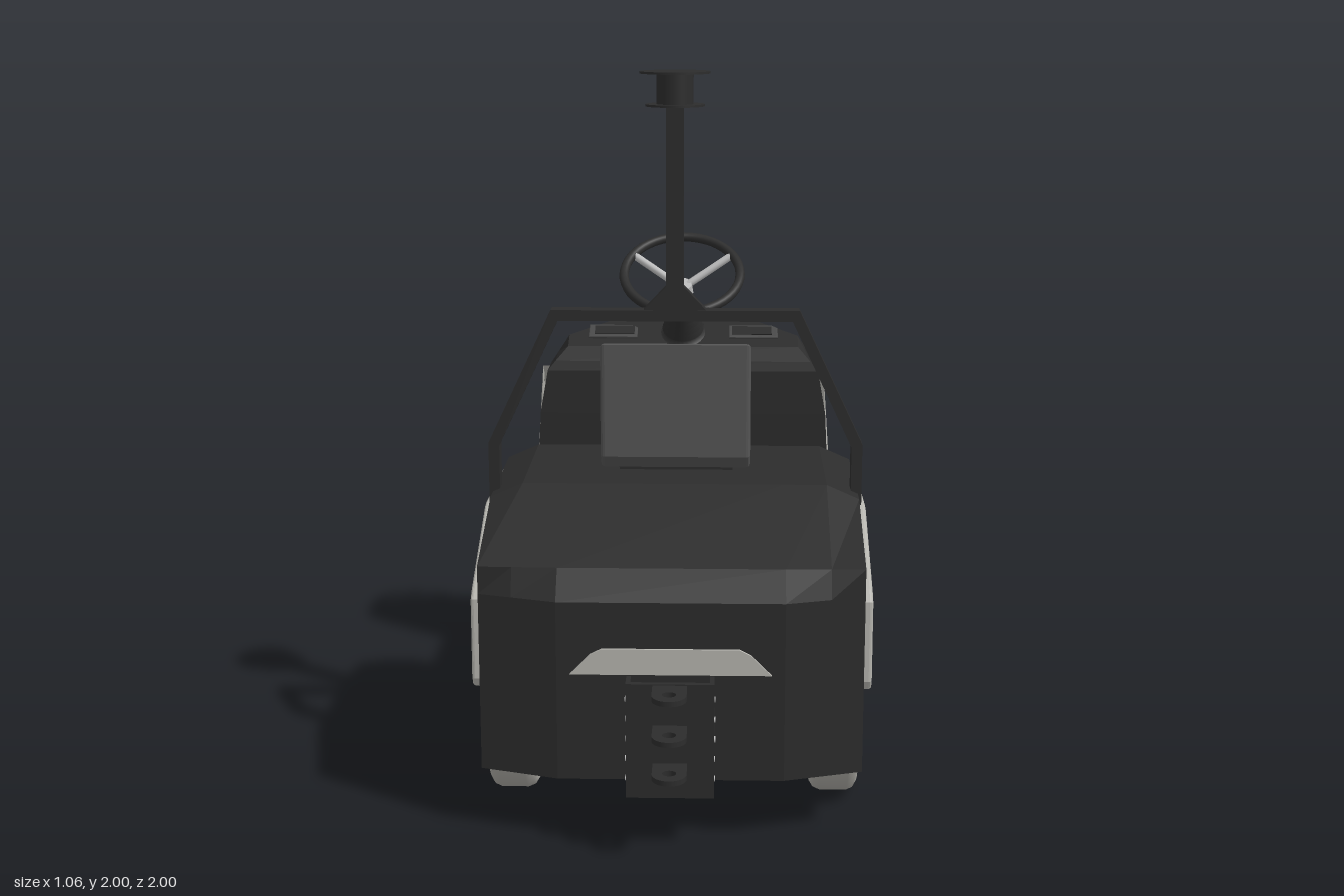
import * as THREE from 'three';

const mat = (color) => new THREE.MeshStandardMaterial({ color, side: THREE.DoubleSide });
const black = mat(0x2c2c2c), light = mat(0xb6b5af), seatGrey = mat(0x555555);
const tyreGrey = mat(0xaaa8a2), hubGrey = mat(0x484848), silver = mat(0xbbbbbb);

function add(parent, name, geo, material, x = 0, y = 0, z = 0) {
  const m = new THREE.Mesh(geo, material);
  m.name = name;
  m.position.set(x, y, z);
  parent.add(m);
  return m;
}
const box = (w, h, d) => new THREE.BoxGeometry(w, h, d);
const poly = (pts) => new THREE.Shape(pts.map(([x, y]) => new THREE.Vector2(x, y)));

// Extrude a shape centred on its depth
function extrude(shape, depth, bevel = 0) {
  const g = new THREE.ExtrudeGeometry(shape, {
    depth: depth - 2 * bevel, curveSegments: 24, bevelEnabled: bevel > 0,
    bevelSize: bevel, bevelOffset: -bevel, bevelThickness: bevel, bevelSegments: 3,
  });
  return g.translate(0, 0, -depth / 2 + bevel);
}
// Side profile given as (z, y), extruded across x
const extrudeX = (shape, width, bevel) => extrude(shape, width, bevel).rotateY(-Math.PI / 2);

// Skin over rings of [x, y, z] points, flat shaded
function loft(rings, closed, cap) {
  const v = [], n = rings[0].length, top = rings[rings.length - 1];
  for (let r = 0; r + 1 < rings.length; r++) {
    for (let i = 0; i < (closed ? n : n - 1); i++) {
      const j = (i + 1) % n, [lo, hi] = [rings[r], rings[r + 1]];
      v.push(...lo[i], ...lo[j], ...hi[j], ...lo[i], ...hi[j], ...hi[i]);
    }
  }
  if (cap) for (let i = 1; i + 1 < n; i++) v.push(...top[0], ...top[i], ...top[i + 1]);
  const g = new THREE.BufferGeometry();
  g.setAttribute('position', new THREE.Float32BufferAttribute(v, 3));
  g.computeVertexNormals();
  return g;
}

// Round bar between two points
function rod(parent, name, a, b, r, material) {
  const A = new THREE.Vector3(...a), B = new THREE.Vector3(...b);
  const m = add(parent, name, new THREE.CylinderGeometry(r, r, A.distanceTo(B), 10), material);
  m.position.copy(A).add(B).multiplyScalar(0.5);
  m.quaternion.setFromUnitVectors(new THREE.Vector3(0, 1, 0), B.sub(A).normalize());
}

// Body side profile, optionally with the wheel arch
function bodyProfile(arch) {
  const s = poly([[0.825, 0.17], [0.825, 0.66], [0.765, 0.735], [0.45, 0.88], [0, 0.88],
    [-0.135, 0.84], [-0.135, 0.465], [-0.87, 0.465], [-0.87, 0.17]]);
  if (arch) s.absarc(0.45, 0.215, 0.228, Math.PI + 0.199, -0.199, true);
  return s;
}
// Body slab between two x values, with chamfered corners and shoulders
function bodySlab(x0, x1, arch) {
  const g = extrudeX(bodyProfile(arch), x1 - x0).translate((x0 + x1) / 2, 0, 0);
  const p = g.attributes.position;
  for (let i = 0; i < p.count; i++) {
    const ax = Math.abs(p.getX(i)), z = p.getZ(i), y = p.getY(i);
    const t = THREE.MathUtils.clamp((ax - 0.3) / 0.21, 0, 1);
    const edge = z > 0 ? 0.76 : 0.77;
    if (Math.abs(z) > edge) p.setZ(i, Math.sign(z) * (edge + (Math.abs(z) - edge) * (1 - t)));
    if (y > 0.8) p.setY(i, y - 0.04 * THREE.MathUtils.clamp((ax - 0.42) / 0.09, 0, 1));
  }
  g.computeVertexNormals();
  return g;
}

function wheel(parent, name, r, w, hubR, x, y, z) {
  const g = new THREE.Group();
  g.name = name;
  const h = w / 2, prof = [[hubR, -h + 0.015], [hubR + 0.008, -h], [r - 0.025, -h], [r - 0.008, -h + 0.01],
    [r, -h + 0.028], [r, h - 0.028], [r - 0.008, h - 0.01], [r - 0.025, h], [hubR + 0.008, h], [hubR, h - 0.015]];
  const tyre = new THREE.LatheGeometry(prof.map(([a, b]) => new THREE.Vector2(a, b)), 40);
  add(g, 'tyre', tyre.rotateZ(Math.PI / 2), tyreGrey);
  add(g, 'hub', new THREE.CylinderGeometry(hubR, hubR, w - 0.03, 32).rotateZ(Math.PI / 2), hubGrey);
  add(g, 'hubCap', new THREE.CylinderGeometry(hubR * 0.72, hubR * 0.8, w - 0.018, 32).rotateZ(Math.PI / 2), black);
  g.position.set(x, y, z);
  parent.add(g);
}

// Console outline: wide at the driver side, chamfered at the tail
function consoleRing([w, zf, yf, zb, yb]) {
  const zm = zb + 0.085, ym = yf + (yb - yf) * (zm - zf) / (zb - zf);
  const half = [[w, yf, zf], [w, ym, zm], [w - 0.15, yb, zb]];
  return [...half, ...half.map(([x, y, z]) => [-x, y, z]).reverse()];
}

export function createModel() {
  const model = new THREE.Group();
  model.name = 'towTractor';

  // Chassis, hood and side panels
  add(model, 'bodyCentre', bodySlab(-0.3, 0.3, false), black);
  for (const s of [-1, 1]) {
    for (const [a, b] of [[0.3, 0.42], [0.42, 0.51]])
      add(model, 'bodySide', bodySlab(Math.min(s * a, s * b), Math.max(s * a, s * b), true), black);
    const panel = poly([[0.67, 0.385], [0.735, 0.395], [0.75, 0.42], [0.745, 0.64], [0.71, 0.665], [0.41, 0.805],
      [0.38, 0.81], [-0.07, 0.8], [-0.1, 0.785], [-0.112, 0.75], [-0.1, 0.46], [-0.08, 0.445], [0.18, 0.388]]);
    panel.absarc(0.45, 0.215, 0.245, Math.PI - 0.77, 0.77, true);
    add(model, 'sidePanel', extrudeX(panel, 0.03, 0.009), light, s * 0.517);
    wheel(model, 'frontWheel', 0.215, 0.13, 0.12, s * 0.445, 0.215, 0.45);
  }
  wheel(model, 'rearWheel', 0.157, 0.105, 0.085, 0, 0.157, -0.46);
  add(model, 'frontTrim', extrude(poly([[-0.265, 0.465], [0.265, 0.465], [0.21, 0.52], [0.18, 0.535],
    [-0.18, 0.535], [-0.21, 0.52]]), 0.02), light, 0, 0, 0.822);

  // Front coupling: channel with three drilled tongues
  add(model, 'couplingPlate', box(0.23, 0.315, 0.015), black, 0, 0.3025, 0.878);
  for (const s of [-1, 1]) {
    add(model, 'couplingFlange', box(0.012, 0.315, 0.06), black, s * 0.109, 0.3025, 0.85);
    for (let i = 0; i < 5; i++)
      add(model, 'couplingBolt', new THREE.CylinderGeometry(0.008, 0.008, 0.006, 10).rotateZ(Math.PI / 2),
        silver, s * 0.115, 0.19 + i * 0.055, 0.86);
  }
  const tongue = poly([[-0.045, -0.87], [0.045, -0.87], [0.045, -0.955]]);
  tongue.absarc(0, -0.955, 0.045, 0, -Math.PI, true);
  tongue.holes.push(new THREE.Path().absarc(0, -0.95, 0.018, 0, Math.PI * 2));
  for (const y of [0.235, 0.34, 0.45])
    add(model, 'couplingTongue', extrude(tongue, 0.014).rotateX(-Math.PI / 2), black, 0, y);

  // Rear hitch
  const hitch = poly([[-0.08, 0.84], [0.08, 0.84], [0.08, 0.97], [0.05, 1], [-0.05, 1], [-0.08, 0.97]]);
  for (const [y, h] of [[0.212, 0.055], [0.312, 0.01]])
    add(model, 'hitchPlate', extrude(hitch, h).rotateX(-Math.PI / 2), black, 0, y);
  add(model, 'hitchPin', new THREE.CylinderGeometry(0.022, 0.03, 0.07, 16), black, 0, 0.265, -0.93);

  // Rear guard rail
  const rail = [[-0.4, 0.525, -0.79], [-0.25, 0.525, -0.86], [0.25, 0.525, -0.86], [0.4, 0.525, -0.79]];
  for (let i = 0; i < 3; i++) rod(model, 'guardRail', rail[i], rail[i + 1], 0.01, black);
  for (const x of [-0.235, -0.08, 0.08, 0.235]) {
    add(model, 'guardPost', box(0.012, 0.085, 0.02), black, x, 0.495, -0.872);
    add(model, 'guardBracket', box(0.012, 0.012, 0.07), black, x, 0.532, -0.84);
  }

  // Steering console and its light rear cowl
  add(model, 'console', loft([[0.485, -0.525, 0.46, -0.82, 0.46], [0.465, -0.525, 0.86, -0.785, 0.86],
    [0.44, -0.525, 1.0, -0.745, 1.0], [0.415, -0.535, 1.03, -0.735, 1.045],
    [0.375, -0.555, 1.075, -0.7, 1.14]].map(consoleRing), true, true), black);
  const cowlRow = (half) => [...half, ...half.map(([x, y, z]) => [-x, y, z]).reverse()];
  add(model, 'consoleCowl', loft([
    cowlRow([[0.478, 0.515, -0.6], [0.5, 0.468, -0.64], [0.5, 0.468, -0.745], [0.345, 0.468, -0.832]]),
    cowlRow([[0.462, 1.0, -0.6], [0.462, 0.97, -0.64], [0.47, 0.925, -0.71], [0.325, 0.865, -0.802]]),
    cowlRow([[0.425, 1.0, -0.6], [0.425, 0.97, -0.635], [0.425, 0.925, -0.66], [0.3, 0.865, -0.76]]),
  ], false), light);
  add(model, 'rearSlot', box(0.5, 0.012, 0.012), black, 0, 0.975, -0.756);

  // Dashboard fittings
  const dash = new THREE.Group();
  dash.name = 'dashboard';
  dash.position.set(0, 1.108, -0.628);
  dash.rotation.x = 0.42;
  model.add(dash);
  for (const s of [-1, 1]) {
    add(dash, 'trayRim', extrude(poly([[-0.08, -0.035], [0.08, -0.035], [0.08, 0.02], [0.06, 0.035], [-0.08, 0.035]]),
      0.012, 0.004).rotateX(-Math.PI / 2), hubGrey, s * 0.23, 0.002, 0);
    add(dash, 'tray', box(0.13, 0.006, 0.045), black, s * 0.225, 0.008, 0);
  }
  add(dash, 'instrumentPod', box(0.13, 0.025, 0.06), black, 0, 0.01, -0.035);

  // Steering wheel, column and bellows
  const steering = new THREE.Group();
  steering.name = 'steering';
  steering.position.set(0, 1.33, -0.45);
  steering.rotation.x = 0.56;
  model.add(steering);
  add(steering, 'steeringRim', new THREE.TorusGeometry(0.184, 0.015, 12, 48).rotateX(Math.PI / 2), black);
  for (let i = 0; i < 3; i++) {
    const a = Math.PI / 2 + i * Math.PI * 2 / 3;
    rod(steering, 'spoke', [0, -0.06, 0], [0.18 * Math.cos(a), 0, 0.18 * Math.sin(a)], 0.012, silver);
  }
  add(steering, 'steeringHub', new THREE.CylinderGeometry(0.03, 0.035, 0.035, 24), silver, 0, -0.06, 0);
  add(steering, 'column', new THREE.CylinderGeometry(0.024, 0.024, 0.16, 20), black, 0, -0.14, 0);
  const folds = [];
  for (let i = 0; i <= 12; i++) folds.push(new THREE.Vector2(0.072 - i * 0.0025 - (i % 2) * 0.014, -0.25 + i * 0.01));
  folds.push(new THREE.Vector2(0.02, -0.13));
  add(steering, 'bellows', new THREE.LatheGeometry(folds, 28), black);

  // Seat
  const cushion = poly([[0.345, 0.93], [0.32, 0.895], [-0.035, 0.895], [-0.045, 0.91], [-0.05, 0.955], [-0.03, 0.965],
    [0.1, 0.955], [0.24, 0.955], [0.275, 0.975], [0.295, 1.05], [0.315, 1.225], [0.325, 1.25], [0.345, 1.25]]);
  add(model, 'seat', extrudeX(cushion, 0.42, 0.012), seatGrey);
  add(model, 'seatBase', box(0.32, 0.03, 0.3), black, 0, 0.885, 0.14);

  // Roll bar
  const outer = [[0.52, 0.8], [0.52, 0.98], [0.342, 1.355]], inner = [[0.49, 0.8], [0.49, 0.972], [0.323, 1.325]];
  const flip = (pts) => pts.map(([x, y]) => [-x, y]);
  add(model, 'rollBar', extrude(poly([...outer, ...flip(outer).reverse(), ...flip(inner),
    ...[...inner].reverse()]), 0.05), black, 0, 0, 0.368);

  // Beacon mast
  add(model, 'mastGusset', extrude(poly([[-0.1, 1.34], [0.1, 1.34], [0.024, 1.42], [-0.024, 1.42]]), 0.04),
    black, 0, 0, 0.368);
  add(model, 'mast', box(0.048, 0.58, 0.05), black, 0, 1.63, 0.368);
  add(model, 'beaconBase', new THREE.CylinderGeometry(0.08, 0.08, 0.006, 32), black, 0, 1.91, 0.368);
  add(model, 'beacon', new THREE.CylinderGeometry(0.05, 0.05, 0.085, 32), black, 0, 1.95, 0.368);
  add(model, 'beaconCap', new THREE.CylinderGeometry(0.095, 0.095, 0.006, 32), black, 0, 1.997, 0.368);

  return model;
}
